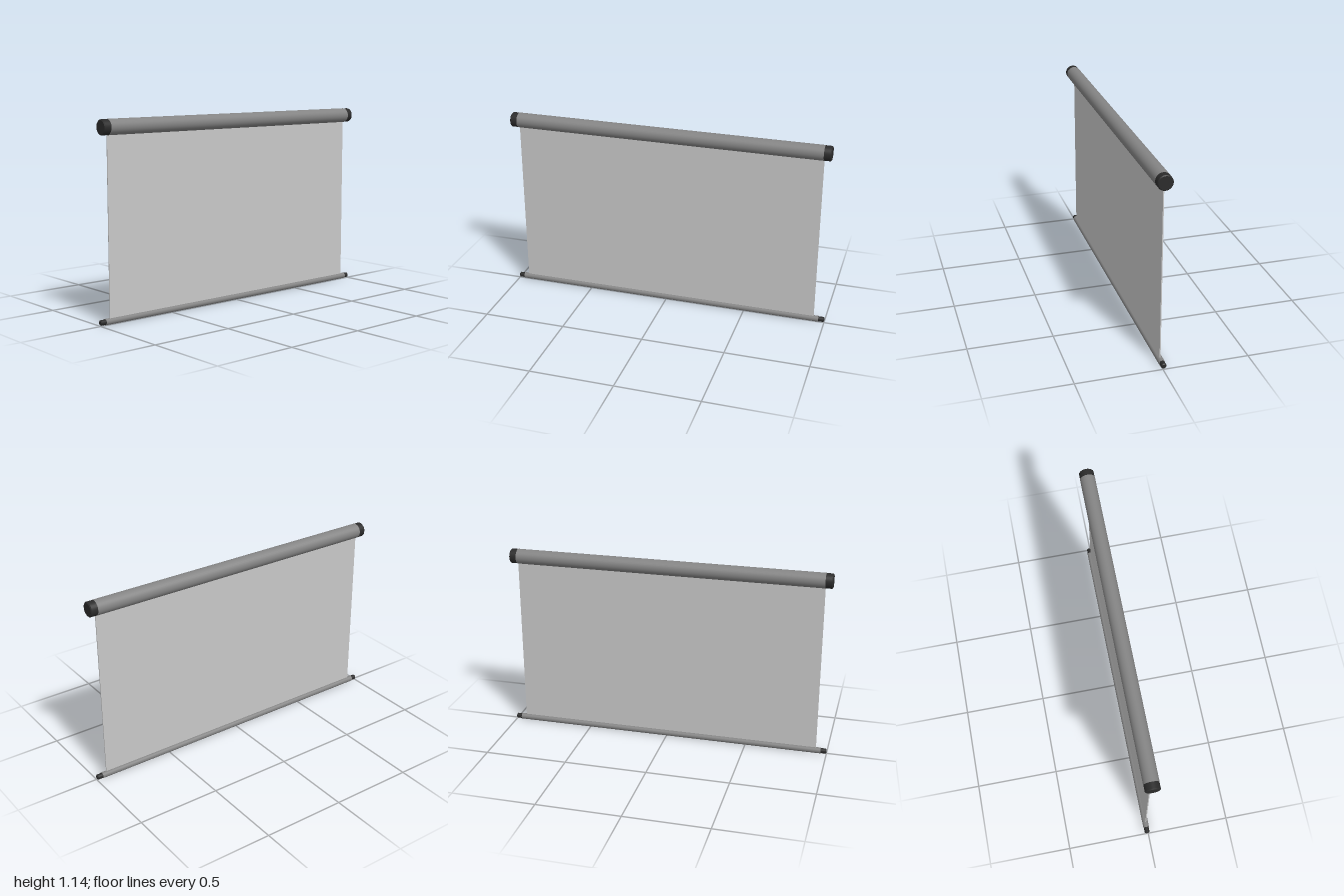
import * as THREE from 'three';

const material = (name, color) => {
  const m = new THREE.MeshStandardMaterial({ color });
  m.name = name;
  return m;
};

export function createModel() {
  const casing = material('grey casing', 0x848484);
  const cap = material('black plastic', 0x2b2b2b);
  const fabric = material('light fabric', 0xc8c8c8);
  const model = new THREE.Group();
  model.name = 'rollUpScreen';

  const add = (name, geometry, mat, x, y, z) => {
    const mesh = new THREE.Mesh(geometry, mat);
    mesh.name = name;
    mesh.position.set(x, y, z);
    model.add(mesh);
    return mesh;
  };

  // Round bar lying along z
  const bar = (name, radius, length, x, y) =>
    add(name, new THREE.CylinderGeometry(radius, radius, length, 32).rotateX(Math.PI / 2), casing, x, y, 0);

  // Pair of end caps with a small bevel; repeated points keep the edges crisp
  const endCaps = (name, radius, bevel, length, x, y, z) => {
    const rim = [radius, length - bevel];
    const face = [radius - bevel, length];
    const profile = [[0, 0], [radius, 0], [radius, 0], rim, rim, face, face, [0, length]]
      .map(([r, h]) => new THREE.Vector2(r, h));
    for (const side of [1, -1]) {
      const geometry = new THREE.LatheGeometry(profile, 32).rotateX(side * Math.PI / 2);
      add(name + (side > 0 ? 'Front' : 'Back'), geometry, cap, x, y, side * z);
    }
  };

  // Upper housing tube
  bar('housingTube', 0.045, 1.87, 0, 1.1);
  endCaps('housingCap', 0.044, 0.005, 0.043, 0, 1.1, 0.935);

  // Hanging sheet
  add('screenSheet', new THREE.BoxGeometry(0.006, 1.06, 1.87), fabric, -0.004, 0.55, 0);

  // Weighted bottom rod
  bar('bottomRod', 0.018, 1.93, -0.006, 0.018);
  endCaps('bottomRodCap', 0.0155, 0.005, 0.035, -0.006, 0.018, 0.965);

  return model;
}
